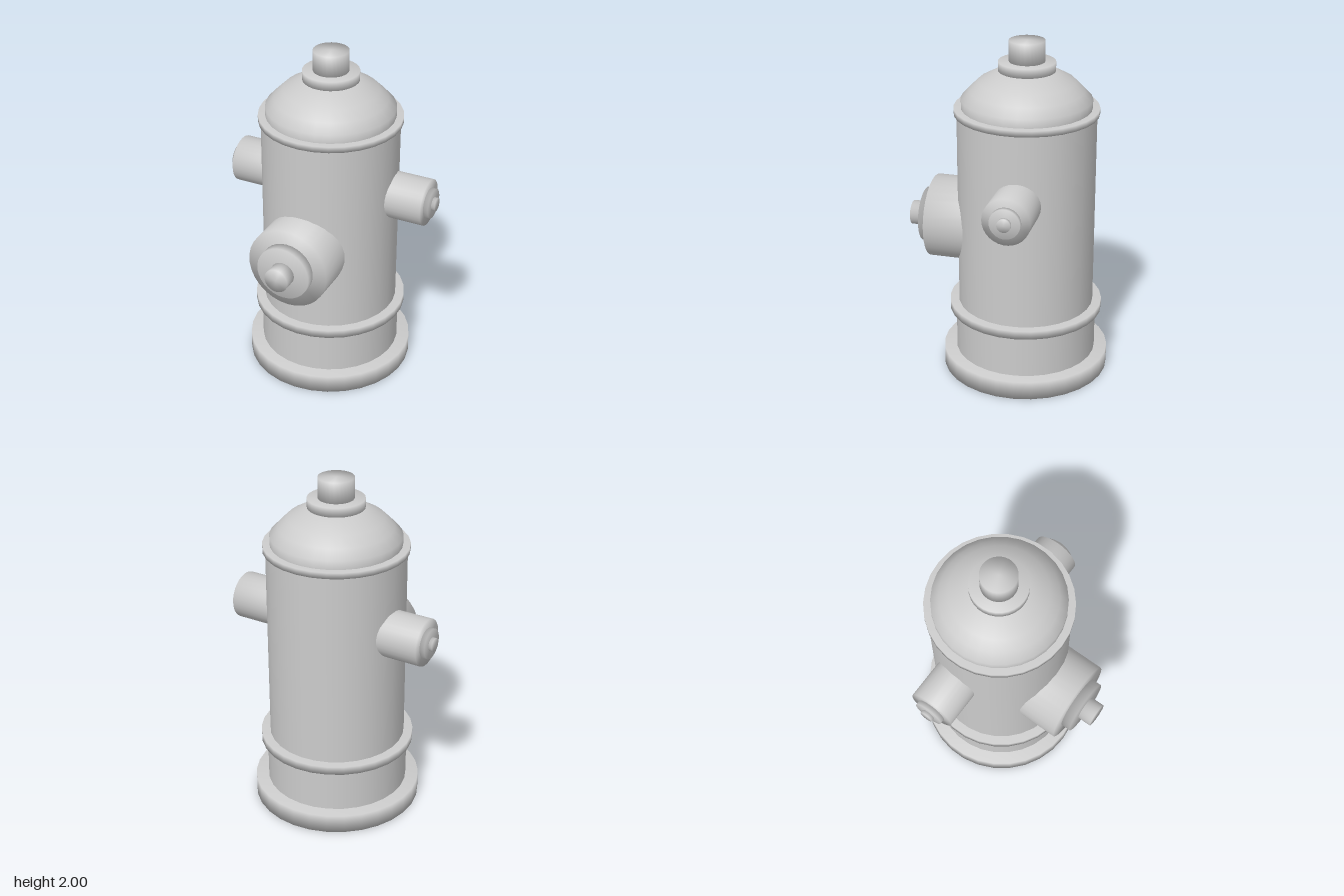
import * as THREE from 'three';

const SEGMENTS = 30;
const AXIS_Z = -0.1; // the barrel stands slightly behind the origin

export function createModel() {
  const model = new THREE.Group();
  model.name = 'hydrant';
  const material = new THREE.MeshStandardMaterial({ color: 0xcccccc });

  // Turned part from [radius, height] pairs, bottom to top
  function turned(name, profile, parent) {
    const points = profile.map(([r, y]) => new THREE.Vector2(r, y));
    const mesh = new THREE.Mesh(new THREE.LatheGeometry(points, SEGMENTS), material);
    mesh.name = name;
    parent.add(mesh);
    return mesh;
  }

  // Closed disc between two heights
  const disc = (name, r, y0, y1, parent) =>
    turned(name, [[0, y0], [r, y0], [r, y1], [0, y1]], parent);

  // Upright column
  const column = new THREE.Group();
  column.name = 'column';
  column.position.z = AXIS_Z;
  model.add(column);
  disc('base', 0.49, 0, 0.11, column);
  turned('lowerBarrel', [[0.415, 0.1], [0.415, 0.38]], column);
  disc('lowerFlange', 0.45, 0.37, 0.42, column);
  turned('barrel', [[0.398, 0.41], [0.398, 1.59]], column);
  disc('upperFlange', 0.413, 1.58, 1.615, column);
  turned('dome', [[0.372, 1.61], [0.372, 1.665], [0.325, 1.715], [0.272, 1.767], [0.16, 1.828], [0, 1.84]], column);
  disc('topCollar', 0.162, 1.82, 1.88, column);
  disc('topNut', 0.102, 1.87, 2, column);

  // Outlet built along +y, from inside the barrel outwards: pipe, cap and nut
  function outlet(name, start, pipe, cap, nut) {
    const group = new THREE.Group();
    group.name = name;
    turned(name + 'Pipe', [[pipe[0], start], pipe, [0, pipe[1]]], group);
    disc(name + 'Cap', cap[0], pipe[1] - 0.01, cap[1], group);
    disc(name + 'Nut', nut[0], cap[1] - 0.01, nut[1], group);
    model.add(group);
    return group;
  }

  // Large front outlet
  const front = outlet('frontOutlet', 0.1, [0.243, 0.455], [0.16, 0.512], [0.071, 0.592]);
  front.position.y = 0.89;
  front.rotation.x = Math.PI / 2;

  // Two small side outlets
  for (const side of [1, -1]) {
    const name = side > 0 ? 'leftOutlet' : 'rightOutlet';
    const group = outlet(name, 0.3, [0.136, 0.6], [0.087, 0.629], [0.039, 0.65]);
    group.position.set(0, 1.163, -0.137);
    group.rotation.z = -side * Math.PI / 2;
  }

  return model;
}
